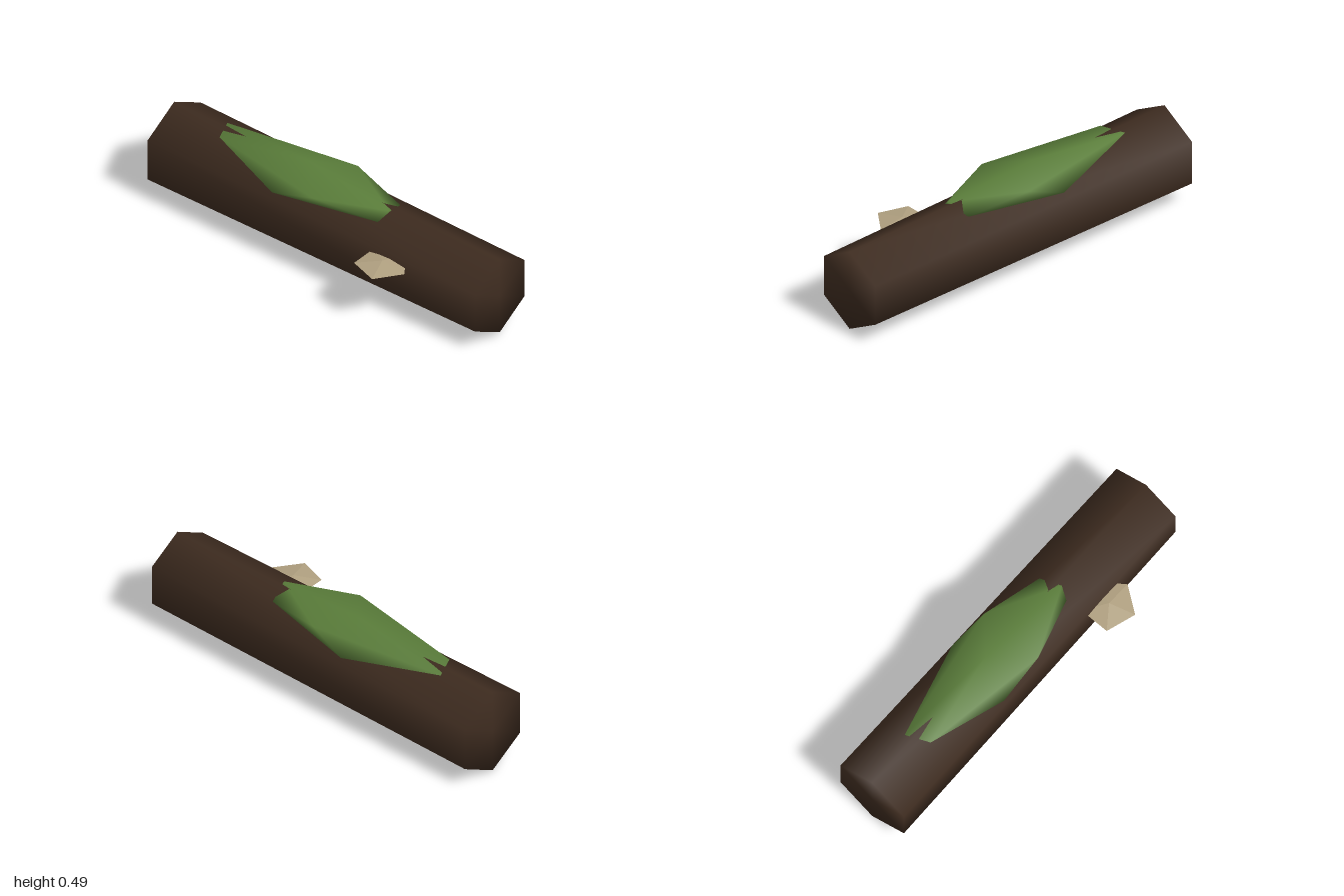
import * as THREE from 'three';
import { mergeVertices } from 'three/addons/utils/BufferGeometryUtils.js';
import { ConvexGeometry } from 'three/addons/geometries/ConvexGeometry.js';

const material = (name, color) => {
  const m = new THREE.MeshStandardMaterial({ color });
  m.name = name;
  return m;
};

// Weld shared corners so shading runs smoothly over the whole surface
function smooth(geometry) {
  geometry.deleteAttribute('normal');
  geometry.deleteAttribute('uv');
  const welded = mergeVertices(geometry, 1e-4);
  welded.computeVertexNormals();
  return welded;
}

function flat(geometry) {
  const faceted = geometry.toNonIndexed();
  faceted.computeVertexNormals();
  return faceted;
}

export function createModel() {
  const group = new THREE.Group();
  const add = (name, geometry, mat) => {
    const mesh = new THREE.Mesh(geometry, mat);
    mesh.name = name;
    group.add(mesh);
    return mesh;
  };

  // Six-sided fallen trunk, tapering towards +x, with a ridge on top
  const trunk = new THREE.CylinderGeometry(0.214, 0.23, 2, 6, 1, false, Math.PI / 2);
  trunk.rotateZ(-Math.PI / 2);
  add('log', smooth(trunk), material('bark brown', 0x3d2b1f)).position.set(0, 0.232, -0.08);

  // Irregular moss cushion draped over the ridge
  const mossPoints = [
    [-0.17, 0.492, -0.08], // crown
    [0, 0.452, 0.103], [0, 0.453, -0.237], [0.35, 0.45, -0.05], // upper ring
    [-0.71, 0.445, -0.125], [-0.66, 0.45, -0.005],
    [-0.25, 0.373, 0.103], [-0.2, 0.38, -0.265], [-0.6, 0.38, -0.08], // lower ring
    [0.32, 0.403, 0.005], [0.32, 0.408, -0.165],
    [-0.17, 0.335, -0.08], // underside, hidden in the log
  ].map(p => new THREE.Vector3(...p));
  add('moss', smooth(new ConvexGeometry(mossPoints)), material('moss green', 0x5a7d3a));

  // Flat five-sided bracket fungus growing from the front
  const bracket = new THREE.SphereGeometry(1, 5, 2);
  bracket.rotateY(Math.PI);
  bracket.scale(0.135, 0.019, 0.135);
  add('bracketFungus', flat(bracket), material('fungus beige', 0xb0a080)).position.set(0.465, 0.304, 0.148);

  return group;
}
